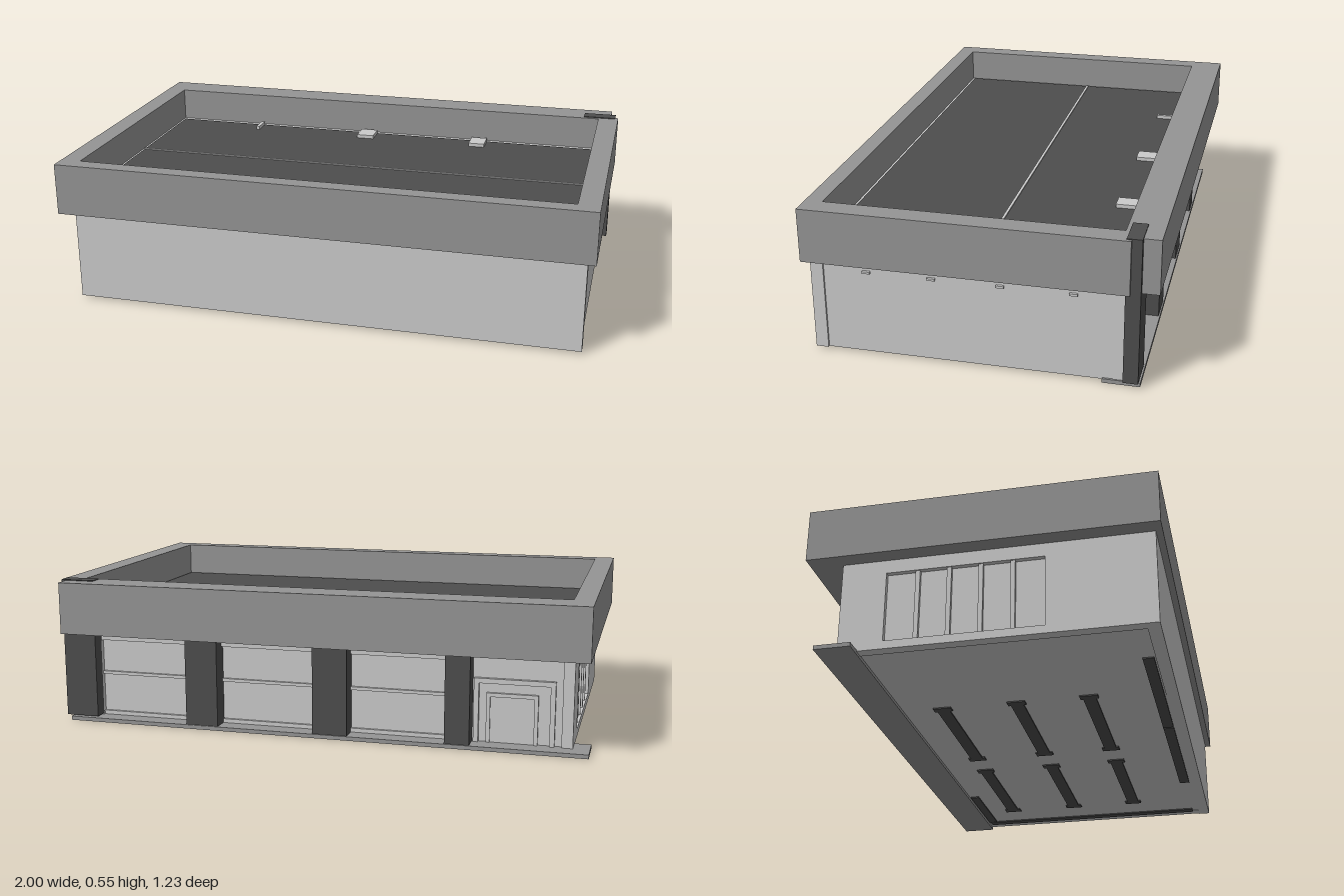
import * as THREE from 'three';

export function createModel() {
  const root = new THREE.Group();
  root.name = 'flatRoofBuilding';
  const material = (name, color) => {
    const m = new THREE.MeshStandardMaterial({ color });
    m.name = name;
    return m;
  };
  const light = material('lightGrey', 0xcbcbcb);
  const mid = material('midGrey', 0x959595);
  const dark = material('darkGrey', 0x4d4d4d);

  // Box given by its limits on each axis
  function box(name, mat, x0, x1, y0, y1, z0, z1) {
    const mesh = new THREE.Mesh(new THREE.BoxGeometry(x1 - x0, y1 - y0, z1 - z0), mat);
    mesh.position.set((x0 + x1) / 2, (y0 + y1) / 2, (z0 + z1) / 2);
    mesh.name = name;
    root.add(mesh);
    return mesh;
  }

  // Parapet ring, notched at the back corner for the tall column
  const ring = new THREE.Shape([[-1, -0.615], [0.97, -0.615], [0.97, -0.52], [1, -0.52], [1, 0.613], [-1, 0.613]]
    .map(([x, z]) => new THREE.Vector2(x, z)));
  ring.holes.push(new THREE.Path([[-0.925, -0.49], [-0.925, 0.55], [0.92, 0.55], [0.92, -0.49]]
    .map(([x, z]) => new THREE.Vector2(x, z))));
  const ringGeo = new THREE.ExtrudeGeometry(ring, { depth: 0.195, bevelEnabled: false });
  ringGeo.rotateX(Math.PI / 2).translate(0, 0.545, 0);
  const parapet = new THREE.Mesh(ringGeo, mid);
  parapet.name = 'parapet';
  root.add(parapet);

  // Roof deck with its pale rim, ridge strip and pier tops
  box('roofRim', light, -0.93, 0.93, 0.39, 0.415, -0.495, 0.56);
  box('roofDeck', dark, -0.915, 0.915, 0.405, 0.418, -0.465, 0.54);
  box('roofStrip', light, -0.915, 0.915, 0.41, 0.422, -0.014, -0.004);
  for (const [x0, x1, z1] of [[-0.552, -0.537, -0.39], [-0.09, -0.02, -0.38], [0.395, 0.46, -0.38]])
    box('pierTop', light, x0, x1, 0.41, 0.432, -0.466, z1);

  // Front and right walls
  box('frontWall', light, -0.94, 0.97, 0.01, 0.352, 0.545, 0.59);
  box('rightWall', light, 0.92, 0.962, 0.01, 0.352, -0.465, 0.545);
  for (const z of [0.39, 0.16, -0.08, -0.33])
    box('wallVent', light, 0.96, 0.972, 0.314, 0.322, z - 0.014, z + 0.014);

  // Left wall with a recessed, divided opening
  const openA = -0.34, openB = 0.215;
  box('leftWallBack', light, -0.94, -0.9, 0.01, 0.352, -0.465, openA);
  box('leftWallFront', light, -0.94, -0.9, 0.01, 0.352, openB, 0.545);
  box('leftWallSill', light, -0.94, -0.9, 0.01, 0.04, openA, openB);
  box('leftWallLintel', light, -0.94, -0.9, 0.3, 0.352, openA, openB);
  box('leftWindowPanel', light, -0.922, -0.905, 0.04, 0.3, openA, openB);
  for (let i = 1; i < 5; i++) {
    const z = openA + (openB - openA) * i / 5;
    box('leftMullion', light, -0.935, -0.92, 0.04, 0.3, z - 0.008, z + 0.008);
  }

  // Floor slab and the dark strips beneath it
  box('floor', light, -0.93, 0.96, 0.012, 0.03, -0.465, 0.55);
  const strip = (x0, x1, z0, z1) => box('floorStrip', dark, x0, x1, 0.007, 0.0135, z0, z1);
  for (const z of [-0.28, 0, 0.27])
    for (const x of [0.22, -0.43]) {
      strip(x + 0.03, x + 0.51, z - 0.024, z + 0.024);
      for (const e of [x, x + 0.51]) strip(e, e + 0.03, z - 0.034, z + 0.034);
    }
  strip(0.89, 0.925, -0.42, 0.52);
  strip(-0.07, 0.54, 0.5, 0.54);
  strip(-0.69, -0.08, 0.5, 0.54);
  strip(0.54, 0.885, -0.425, -0.39);

  // Back sill
  box('backSill', mid, -1, 0.97, 0, 0.015, -0.56, -0.43);

  // Back columns; the corner one rises to the parapet top
  box('cornerColumn', dark, 0.86, 0.988, 0.02, 0.548, -0.555, -0.503);
  for (const [x0, x1] of [[0.37, 0.495], [-0.13, 0], [-0.58, -0.49]])
    box('backColumn', dark, x0, x1, 0.015, 0.352, -0.555, -0.47);

  // Back wall: panelled bays between the columns
  box('backWall', light, -0.94, 0.962, 0.012, 0.352, -0.485, -0.465);
  box('backCornerPost', light, 0.86, 0.965, 0.015, 0.352, -0.503, -0.465);
  for (const [x0, x1] of [[0.495, 0.86], [0, 0.37], [-0.49, -0.13]]) {
    box('bayRail', light, x0, x1, 0.175, 0.187, -0.495, -0.48);
    box('bayHead', light, x0, x1, 0.31, 0.352, -0.5, -0.48);
    box('bayFoot', light, x0, x1, 0.015, 0.03, -0.495, -0.48);
  }

  // Frame made of two posts and a head
  function frame(name, x0, x1, top, w, z) {
    box(name, light, x0, x0 + w, 0.015, top, z, -0.48);
    box(name, light, x1 - w, x1, 0.015, top, z, -0.48);
    box(name, light, x0 + w, x1 - w, top - w, top, z, -0.48);
  }
  frame('entranceFrame', -0.875, -0.585, 0.25, 0.018, -0.5);
  frame('doorFrame', -0.815, -0.63, 0.197, 0.014, -0.496);
  box('door', light, -0.801, -0.644, 0.015, 0.183, -0.49, -0.48);
  box('endPost', light, -0.94, -0.9, 0.012, 0.352, -0.5, -0.465);

  return root;
}
